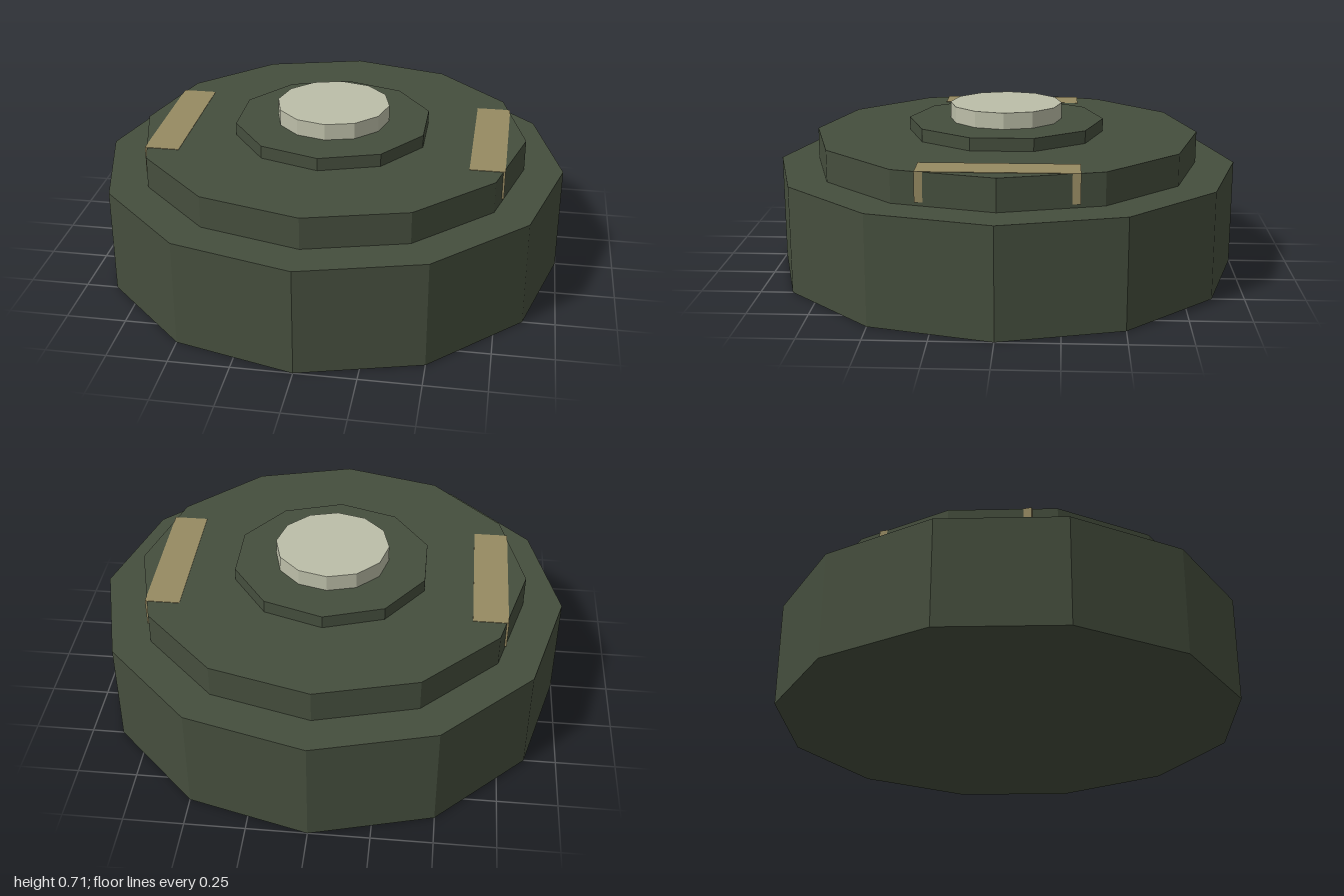
import * as THREE from 'three';

export function createModel() {
  const group = new THREE.Group();
  const material = (name, color) => {
    const m = new THREE.MeshStandardMaterial({ color, flatShading: true });
    m.name = name;
    return m;
  };
  const green = material('dark olive green', 0x454e3d);
  const cream = material('pale grey cream', 0xbcbea8);
  const tan = material('tan', 0x968a62);

  const add = (name, geometry, mat, x, y, z) => {
    const mesh = new THREE.Mesh(geometry, mat);
    mesh.name = name;
    mesh.position.set(x, y, z);
    group.add(mesh);
  };

  // Stacked faceted discs: name, radius, bottom, top, sides, material
  const discs = [
    ['body', 1, 0, 0.455, 12, green],
    ['upperStep', 0.833, 0.455, 0.59, 12, green],
    ['pressurePlate', 0.424, 0.59, 0.645, 10, green],
    ['button', 0.243, 0.645, 0.715, 12, cream],
  ];
  for (const [name, r, y0, y1, sides, mat] of discs) {
    add(name, new THREE.CylinderGeometry(r, r, y1 - y0, sides), mat, 0, (y0 + y1) / 2, 0);
  }

  // Tan bars set into the upper step, their outer corners just breaking the rim
  for (const [name, side] of [['leftBar', 1], ['rightBar', -1]]) {
    add(name, new THREE.BoxGeometry(0.146, 0.122, 0.64), tan, side * 0.683, 0.531, 0);
  }
  return group;
}
